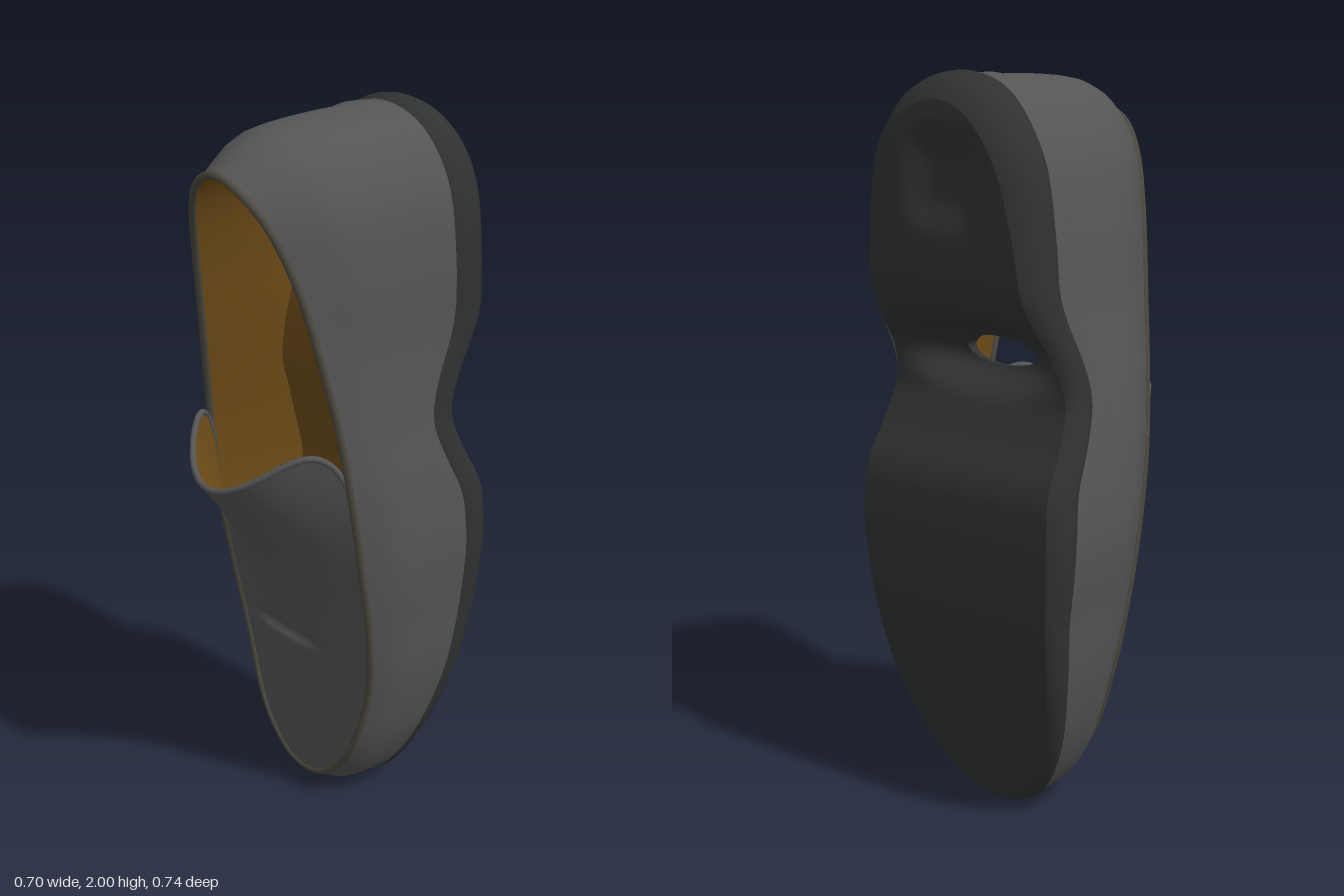
import * as THREE from 'three';
import { mergeVertices } from 'three/addons/utils/BufferGeometryUtils.js';

const N = 240; // samples around the shoe
const lerp = THREE.MathUtils.lerp;
const mat = (color) => new THREE.MeshStandardMaterial({ color, side: THREE.DoubleSide });

// Piecewise table lookup, slightly softened
function table(pts) {
  const at = (y) => {
    if (y <= pts[0][0]) return pts[0][1];
    for (let i = 1; i < pts.length; i++) {
      const [a, za] = pts[i - 1], [b, zb] = pts[i];
      if (y <= b) return lerp(za, zb, (y - a) / (b - a));
    }
    return pts[pts.length - 1][1];
  };
  return (y) => (at(y - 0.035) + at(y - 0.015) + at(y + 0.015) + at(y + 0.035)) / 4;
}

// Smooth surface grid; fn(u, v) gives a point, skip(u, v) marks points cut away
function grid(nu, nv, fn, skip = () => false) {
  const pos = [], cut = [], idx = [];
  for (let j = 0; j <= nv; j++) for (let i = 0; i <= nu; i++) {
    const p = fn(i / nu, j / nv);
    pos.push(p.x, p.y, p.z);
    cut.push(skip(i / nu, j / nv));
  }
  for (let j = 0; j < nv; j++) for (let i = 0; i < nu; i++) {
    const a = j * (nu + 1) + i, b = a + 1, c = a + nu + 1, d = c + 1;
    if (cut[a] && cut[b] && cut[c] && cut[d]) continue;
    idx.push(a, b, c, b, d, c);
  }
  let g = new THREE.BufferGeometry();
  g.setAttribute('position', new THREE.Float32BufferAttribute(pos, 3));
  g.setIndex(idx);
  g = mergeVertices(g, 1e-5);
  g.computeVertexNormals();
  return g;
}

// Height of the tread and of the insole along the shoe (y = toe to heel)
const soleZ = table([[0, -0.205], [0.05, -0.215], [0.2, -0.26], [0.4, -0.32], [0.6, -0.36], [0.8, -0.372],
  [0.95, -0.36], [1.08, -0.28], [1.18, -0.235], [1.28, -0.27], [1.38, -0.33], [1.45, -0.36], [1.85, -0.362], [2, -0.345]]);
const floorZ = table([[0, -0.14], [0.2, -0.18], [0.5, -0.24], [0.9, -0.25], [1.1, -0.18],
  [1.22, -0.13], [1.35, -0.13], [1.6, -0.18], [2, -0.2]]);
// Rise of the tongue above the apron seam
const bulge = table([[0, 0], [0.48, 0.005], [0.65, 0.04], [0.8, 0.095], [0.9, 0.155], [1.06, 0.255]]);

// Each row: outer x, y, then rim x, y, z; right half from toe to heel
const half = [
  [0, 0.005, 0, 0.05, 0], [0.14, 0.05, 0.1, 0.085, 0], [0.24, 0.2, 0.19, 0.2, 0], [0.3, 0.4, 0.255, 0.4, 0],
  [0.325, 0.6, 0.285, 0.6, 0.03], [0.345, 0.8, 0.295, 0.8, 0.07], [0.338, 1, 0.3, 1, 0.11],
  [0.318, 1.2, 0.295, 1.2, 0.15], [0.312, 1.4, 0.28, 1.4, 0.2], [0.32, 1.6, 0.255, 1.6, 0.255],
  [0.3, 1.8, 0.215, 1.75, 0.31], [0.21, 1.95, 0.15, 1.84, 0.35], [0.06, 2, 0.065, 1.875, 0.362]];
// Left side x values: outer, rim (heel back to toe)
const leftX = [[-0.09, -0.02], [-0.205, -0.09], [-0.25, -0.15], [-0.272, -0.2], [-0.305, -0.245], [-0.337, -0.275],
  [-0.35, -0.285], [-0.327, -0.28], [-0.3, -0.255], [-0.24, -0.19], [-0.14, -0.1]];
const rows = [...half, ...leftX.map(([xo, xr], i) => {
  const r = half[11 - i];
  return [xo, r[1], xr, r[3], r[4]];
})];
const closed = (pts) => new THREE.CatmullRomCurve3(pts, true, 'catmullrom', 0.5);
const outerCurve = closed(rows.map((r) => new THREE.Vector3(r[0], r[1], 0)));
const rimCurve = closed(rows.map((r) => new THREE.Vector3(r[2], r[3], r[4])));
const wrap = (t) => ((t % 1) + 1) % 1;

// Point on the wall: w moves from outer outline to rim, v from tread to rim height
function wall(t, w, v) {
  const r = rimCurve.getPoint(wrap(t));
  const p = outerCurve.getPoint(wrap(t)).lerp(r, w);
  return p.setZ(lerp(soleZ(p.y), r.z, v));
}
function inner(t) {
  const o = outerCurve.getPoint(wrap(t)), y = 1 + (o.y - 1) * 0.95;
  return new THREE.Vector3(o.x * 0.87, y, floorZ(y));
}
// Wall sweep through a profile of [w, v] pairs
function sweep(profile) {
  const n = profile.length - 1;
  return grid(N, n, (u, q) => wall(u, ...profile[Math.round(q * n)]));
}

// Elliptical opening worn through the arch
const HOLE = { x: 0, y: 1.267, a: 0.12, b: 0.043 };
const holeQ = (p) => Math.hypot((p.x - HOLE.x) / HOLE.a, (p.y - HOLE.y) / HOLE.b);
// Tread height with a hollow around the opening and a dent in the heel
const treadZ = (p) => soleZ(p.y) + 0.11 * Math.exp(-((holeQ(p) / 2) ** 4))
  + 0.03 * Math.exp(-(((p.x - 0.04) / 0.1) ** 4) - ((p.y - 1.73) / 0.11) ** 4);
// Sheet filling a ring from left to right with the opening cut out
function sheet(ring, height, flip) {
  const raw = (u, q) => ring(1 - q / 2).lerp(ring(q / 2), flip ? 1 - u : u);
  return grid(40, 160, (u, q) => {
    const p = raw(u, q), k = holeQ(p);
    if (k < 1 && k > 1e-6) {
      p.x = HOLE.x + (p.x - HOLE.x) / k;
      p.y = HOLE.y + (p.y - HOLE.y) / k;
    }
    return p.setZ(height(p));
  }, (u, q) => holeQ(raw(u, q)) < 1);
}

// Apron surface: s across (-1..1), k from toe to tongue edge
function apron(s, k) {
  const t = k * 0.256;
  const p = rimCurve.getPoint(wrap(1 - t)).lerp(rimCurve.getPoint(t), (s + 1) / 2);
  p.z += bulge(p.y) * (1 - s * s) + 0.012 * (1 - s ** 4) * Math.min(1, k * 5);
  // crease across the toe
  p.z -= 0.022 * Math.exp(-(((p.y - 0.48) / 0.014) ** 2)) * Math.exp(-(((p.x + 0.07) / 0.14) ** 4));
  p.y += 0.24 * s * s * (1 - s ** 6) * k ** 4;
  return p;
}

export function createModel() {
  const group = new THREE.Group();
  const upperMat = mat(0x555555), soleMat = mat(0x303232), liningMat = mat(0x6e4c18), trimMat = mat(0x4c483f);
  const add = (name, geometry, material) => {
    const m = new THREE.Mesh(geometry, material);
    m.name = name;
    group.add(m);
  };

  // Sole edge with rounded tread corner
  add('soleEdge', sweep([[0.55, 0], [0.3, 0.025], [0.12, 0.065], [0.02, 0.11], [0, 0.15], [0.03, 0.18], [0.1, 0.2]]), soleMat);
  // Upper wall with welt groove, curving in to the rim
  add('upper', sweep([[0.1, 0.2], [0.13, 0.22], [0.08, 0.25], [0.07, 0.3], [0.12, 0.35], [0.13, 0.45], [0.16, 0.57],
    [0.21, 0.68], [0.28, 0.76], [0.42, 0.83], [0.68, 0.91], [1, 1]]), upperMat);
  add('tread', sheet((t) => wall(t, 0.55, 0), treadZ, true), soleMat);

  // Lining wall, insole and edge of the arch opening
  add('lining', grid(N, 10, (u, q) => rimCurve.getPoint(wrap(u)).lerp(inner(u), q)), liningMat);
  add('insole', sheet(inner, (p) => floorZ(p.y), false), liningMat);
  add('archOpening', grid(48, 2, (u, q) => {
    const a = -u * Math.PI * 2;
    const p = new THREE.Vector3(HOLE.x + HOLE.a * Math.cos(a), HOLE.y + HOLE.b * Math.sin(a), 0);
    return p.setZ(lerp(treadZ(p), floorZ(p.y), q));
  }), soleMat);

  // Apron and raised tongue, with its lining
  add('apron', grid(40, 100, (u, k) => apron(u * 2 - 1, k)), upperMat);
  add('tongueLining', grid(40, 60, (u, q) => {
    const p = apron(1 - u * 2, 0.3 + q * 0.7);
    p.z -= 0.012;
    return p;
  }), liningMat);
  const edge = new THREE.CatmullRomCurve3(Array.from({ length: 25 }, (_, i) => {
    const p = apron(i / 12 - 1, 1);
    p.z -= 0.006;
    return p;
  }));
  add('tongueBinding', new THREE.TubeGeometry(edge, 60, 0.009, 8), upperMat);

  // Binding around the collar and apron seam
  add('rimBinding', new THREE.TubeGeometry(rimCurve, 200, 0.01, 8, true), trimMat);
  return group;
}
